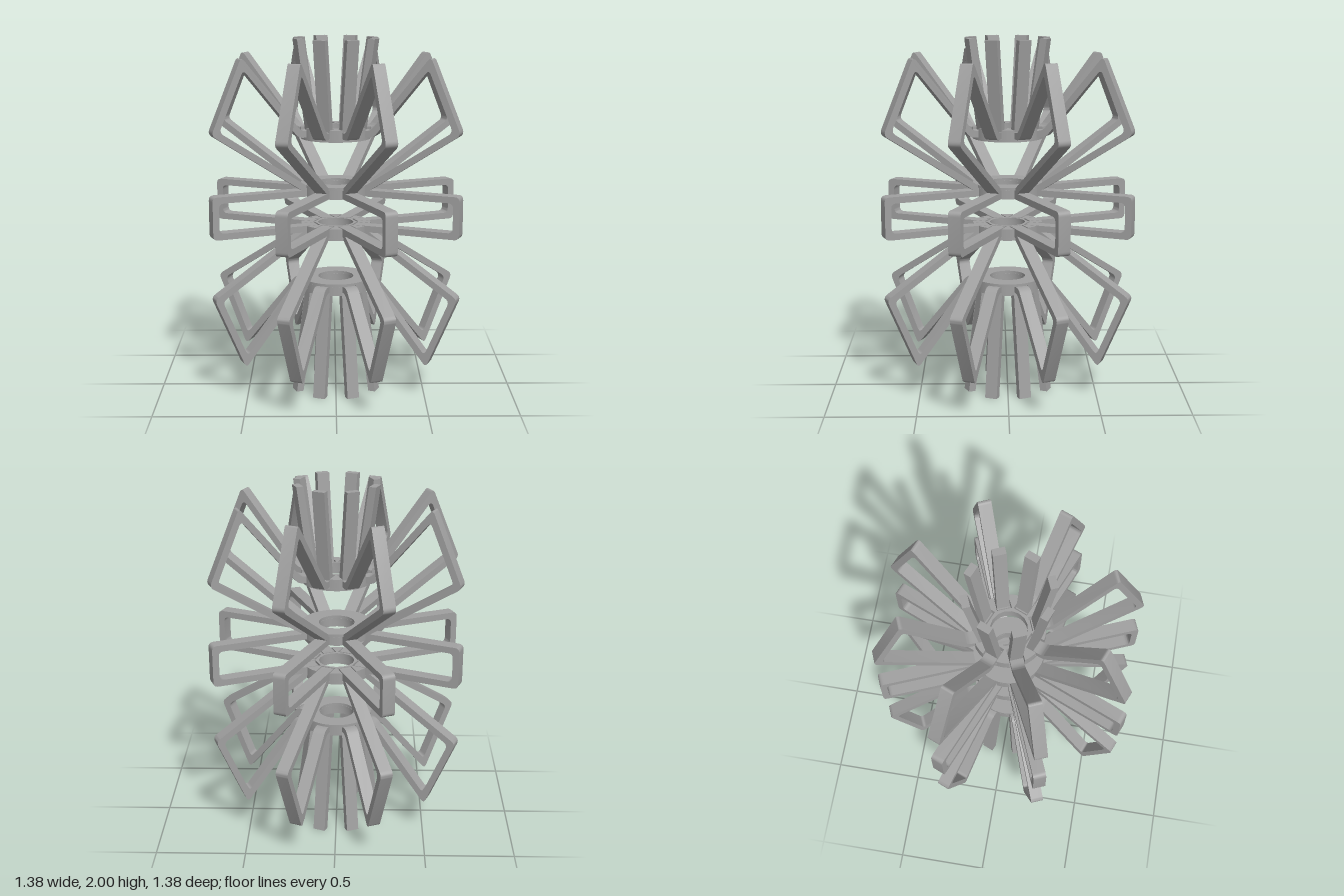
import * as THREE from 'three';
import { mergeVertices, toCreasedNormals } from 'three/addons/utils/BufferGeometryUtils.js';

const MID = 1.052;      // height of the mirror plane
const BAR = 0.036;      // bar thickness
const WIDTH = 0.07;     // bar width
const ARMS = 8;
const V = (x, y) => new THREE.Vector2(x, y);
const armAngle = (i) => (i + 0.5) * Math.PI * 2 / ARMS;
const mirrorY = (pts) => pts.map(([r, y]) => [r, 2 * MID - y]);

// Offset an open polyline sideways with mitred corners
function offsetLine(pts, d) {
  const dirs = pts.slice(1).map((p, i) => p.clone().sub(pts[i]).normalize());
  return pts.map((p, i) => {
    const a = dirs[Math.max(i - 1, 0)], b = dirs[Math.min(i, dirs.length - 1)];
    const n = V(-a.y - b.y, a.x + b.x).normalize();
    return p.clone().addScaledVector(n, d / (n.x * -a.y + n.y * a.x));
  });
}

// Add a polyline to a shape, rounding its inner points
function roundedLine(shape, pts, radius) {
  pts.forEach((p, i) => {
    if (i === 0 || i === pts.length - 1) {
      shape.lineTo(p.x, p.y);
      return;
    }
    const toward = (q) => p.clone().add(
      q.clone().sub(p).setLength(Math.min(radius, q.distanceTo(p) * 0.45)));
    const s = toward(pts[i - 1]), e = toward(pts[i + 1]);
    shape.lineTo(s.x, s.y);
    shape.quadraticCurveTo(p.x, p.y, e.x, e.y);
  });
}

// Flat bar bent along a path of [radius, height] points
function bentBar(path) {
  const pts = path.map(([r, y]) => V(r, y));
  const left = offsetLine(pts, BAR / 2), right = offsetLine(pts, -BAR / 2).reverse();
  const shape = new THREE.Shape();
  shape.moveTo(left[0].x, left[0].y);
  roundedLine(shape, left, 0.028);
  roundedLine(shape, right, 0.028);
  return extrude(shape, WIDTH).translate(0, 0, -WIDTH / 2);
}

function extrude(shape, depth) {
  const g = new THREE.ExtrudeGeometry(shape, { depth, bevelEnabled: false, curveSegments: 6 });
  return toCreasedNormals(g, 0.6);
}

// Upright spike, cut level at its tip
function spikeBar(yBase, yTip) {
  const run = Math.abs(yTip - yBase) * 0.14;
  const shape = new THREE.Shape([
    V(0.124, yBase), V(0.166, yBase), V(0.166 + run, yTip), V(0.126 + run, yTip)]);
  return extrude(shape, WIDTH).translate(0, 0, -WIDTH / 2);
}

// Ring outline, optionally notched for the feet of the bars
function ringShape(notched) {
  const R = 0.195, r = 0.1, half = 0.041, floor = 0.112;
  const shape = new THREE.Shape();
  if (notched) {
    const da = Math.asin(half / R);
    for (let i = 0; i < ARMS; i++) {
      const a = armAngle(i), c = Math.cos(a), s = Math.sin(a);
      const p = V(floor * c + half * s, floor * s - half * c);
      const q = V(floor * c - half * s, floor * s + half * c);
      if (i === 0) shape.moveTo(R * Math.cos(a - da), R * Math.sin(a - da));
      shape.lineTo(p.x, p.y);
      shape.lineTo(q.x, q.y);
      shape.absarc(0, 0, R, a + da, armAngle(i + 1) - da, false);
    }
  } else {
    shape.absarc(0, 0, R, 0, Math.PI * 2, false);
  }
  const hole = new THREE.Path();
  hole.absarc(0, 0, r, 0, Math.PI * 2, true);
  shape.holes.push(hole);
  return shape;
}

function layer(notched, y0, y1) {
  const g = new THREE.ExtrudeGeometry(ringShape(notched), {
    depth: y1 - y0, bevelEnabled: false, curveSegments: notched ? 8 : 24 });
  return toCreasedNormals(g, 0.5).rotateX(-Math.PI / 2).translate(0, y0, 0);
}

export function createModel() {
  const model = new THREE.Group();
  const grey = new THREE.MeshStandardMaterial({ color: 0xa0a0a0 });
  grey.name = 'plain grey';
  const add = (parent, name, geometry) => {
    const mesh = new THREE.Mesh(geometry, grey);
    mesh.name = name;
    parent.add(mesh);
    return mesh;
  };

  // Four hub rings: a solid plate on one side, notches on the other
  const rings = [
    ['topRing', 1.45, 1.515, true],
    ['upperMiddleRing', 1.135, 1.2, false],
    ['lowerMiddleRing', 0.904, 0.969, true],
    ['bottomRing', 0.589, 0.654, false],
  ];
  for (const [name, y0, y1, notchesUp] of rings) {
    const ring = new THREE.Group();
    ring.name = name;
    const split = notchesUp ? y0 + 0.015 : y1 - 0.015;
    add(ring, 'plate', layer(!notchesUp, y0, split));
    add(ring, 'notchedLayer', layer(notchesUp, split, y1));
    model.add(ring);
  }

  // Bars of one radial arm, shared by all eight
  const upperPath = [[0.122, 1.153], [0.155, 1.153], [0.708, 1.513],
    [0.552, 1.882], [0.226, 1.483], [0.122, 1.483]];
  const middlePath = [[0.122, 1.153], [0.714, 1.153], [0.714, 0.951], [0.122, 0.951]];
  const parts = {
    upperFrame: bentBar(upperPath),
    middleFrame: bentBar(middlePath),
    lowerFrame: bentBar(mirrorY(upperPath)),
    topSpike: spikeBar(1.467, 2),
    bottomSpike: spikeBar(0.637, 0),
  };
  for (let i = 0; i < ARMS; i++) {
    const arm = new THREE.Group();
    arm.name = 'radialArm' + (i + 1);
    arm.rotation.y = armAngle(i);
    for (const [name, geometry] of Object.entries(parts)) add(arm, name, geometry);
    model.add(arm);
  }
  return model;
}
